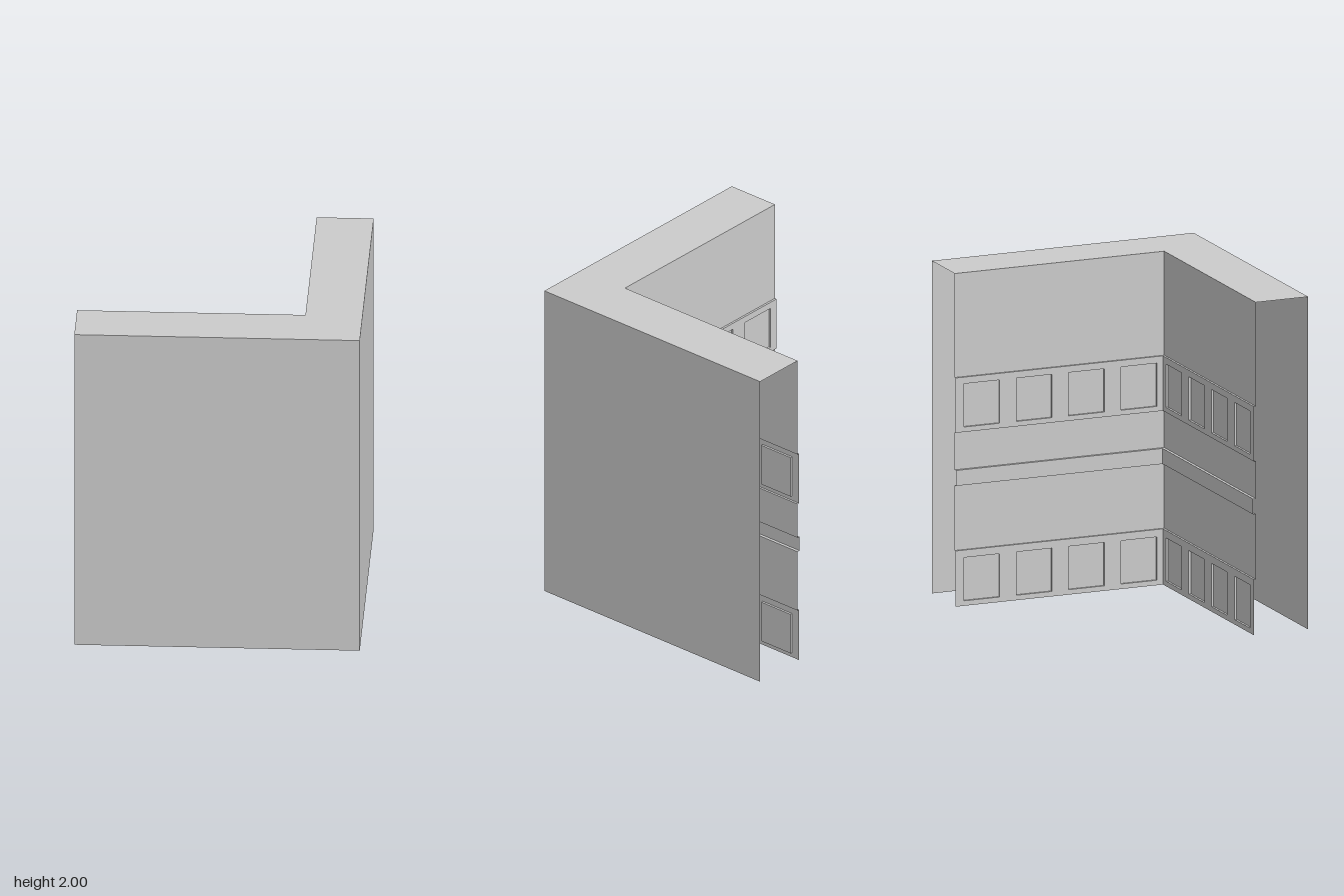
import * as THREE from 'three';
import { mergeGeometries } from 'three/addons/utils/BufferGeometryUtils.js';

const H = 2, E = 0.833, C = 0.5, LEN = E + C; // height, outer half size, inner corner, inner wall length
const BAND = 0.013, RAIL = 0.018;             // how far bands and rail stand out

const material = new THREE.MeshStandardMaterial({ color: 0xcccccc, side: THREE.DoubleSide, flatShading: true });

// Four corners, counter-clockwise seen from the front
function quad(a, b, c, d) {
  const g = new THREE.BufferGeometry();
  g.setAttribute('position', new THREE.Float32BufferAttribute([a, b, c, a, c, d].flat(), 3));
  return g;
}

// Points on an inner wall: u runs away from the corner, d stands out from the wall
const at = (u, y, d) => [-u, y, -d];

// Wall strip between two profile points, mitred at the corner
function strip([y0, d0], [y1, d1]) {
  return quad(at(d0, y0, d0), at(d1, y1, d1), at(LEN, y1, d1), at(LEN, y0, d0));
}

// Band face with four square openings and the recesses behind them
function panelBand(y0, y1) {
  const parts = [];
  const face = new THREE.Shape([[BAND, y0], [LEN, y0], [LEN, y1], [BAND, y1]].map(p => new THREE.Vector2(...p)));
  const pitch = LEN / 4, margin = 0.053;
  for (let i = 0; i < 4; i++) {
    const u0 = i * pitch + margin, u1 = (i + 1) * pitch - margin;
    const ring = [[u0, y0 + 0.03], [u1, y0 + 0.03], [u1, y0 + 0.29], [u0, y0 + 0.29]];
    face.holes.push(new THREE.Path(ring.map(p => new THREE.Vector2(...p))));
    parts.push(quad(...ring.map(([u, y]) => at(u, y, 0))));
    ring.forEach(([u, y], k) => {
      const [v, w] = ring[(k + 1) % 4];
      parts.push(quad(at(u, y, BAND), at(v, w, BAND), at(v, w, 0), at(u, y, 0)));
    });
  }
  const front = new THREE.ShapeGeometry(face).toNonIndexed();
  front.deleteAttribute('uv');
  front.deleteAttribute('normal');
  front.rotateY(Math.PI).translate(0, 0, -BAND);
  parts.push(front);
  return parts;
}

// Swap x and z to make the wall on the other side of the corner
function mirrored(g) {
  const m = g.clone(), p = m.attributes.position, src = g.attributes.position;
  for (let i = 0; i < p.count; i++) {
    const j = i - (i % 3) + (2 - (i % 3)); // keep the faces outward
    p.setXYZ(i, src.getZ(j), src.getY(j), src.getX(j));
  }
  return m;
}

function add(group, name, geometry) {
  geometry.computeVertexNormals();
  const mesh = new THREE.Mesh(geometry, material);
  mesh.name = name;
  group.add(mesh);
  return mesh;
}

export function createModel() {
  const group = new THREE.Group();
  group.name = 'cornerWall';

  // Outer walls
  add(group, 'outerFrontWall', quad([-E, 0, E], [E, 0, E], [E, H, E], [-E, H, E]));
  add(group, 'outerSideWall', quad([E, 0, E], [E, 0, -E], [E, H, -E], [E, H, E]));

  // L-shaped top; shape y becomes -z
  const outline = [[-E, -E], [E, -E], [E, E], [C, E], [C, -C], [-E, -C]];
  const top = new THREE.ShapeGeometry(new THREE.Shape(outline.map(p => new THREE.Vector2(...p))));
  add(group, 'topCap', top.rotateX(-Math.PI / 2).translate(0, H, 0));

  // Inner wall profile from top to bottom, as [height, depth]
  const plain = [[[H, 0], [1.375, 0]], [[1.045, 0], [0.82, 0]], [[0.727, 0], [0.335, 0]]];
  const rail = [[0.82, 0], [0.82, RAIL], [0.727, RAIL], [0.727, 0]];
  const parts = {
    innerWall: plain.map(([a, b]) => strip(a, b)),
    middleRail: rail.slice(1).map((p, i) => strip(rail[i], p)),
    upperPanelBand: [
      strip([1.375, 0], [1.375, BAND]), ...panelBand(1.045, 1.375), strip([1.045, BAND], [1.045, 0]),
    ],
    lowerPanelBand: [strip([0.335, 0], [0.335, BAND]), ...panelBand(0, 0.335)],
  };

  // Both inner walls meet at the inner corner
  for (const [name, list] of Object.entries(parts)) {
    const g = mergeGeometries(list);
    add(group, name + 'Front', g).position.set(C, 0, C);
    add(group, name + 'Side', mirrored(g)).position.set(C, 0, C);
  }
  return group;
}
